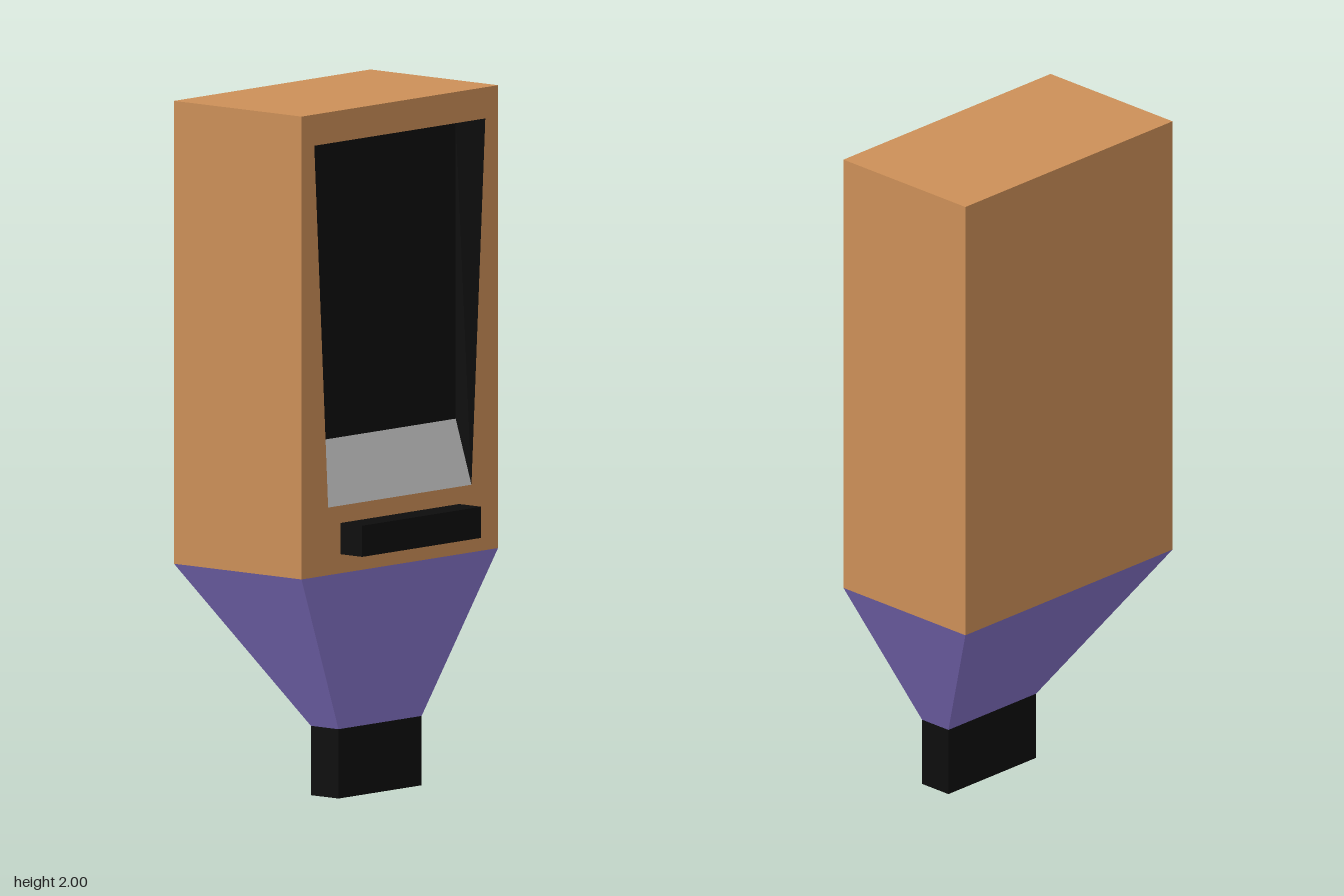
import * as THREE from 'three';

const paint = (color) => new THREE.MeshStandardMaterial({ color });
const orange = paint(0xcd9058);
const purple = paint(0x8573c8);
const black = paint(0x0d0d0d);
const grey = paint(0xcccccc);

// Flat-shaded mesh from quads whose corners run counter-clockwise seen from outside
function quadMesh(name, material, quads) {
  const points = quads.flatMap(([a, b, c, d]) => [a, b, c, a, c, d]);
  const geometry = new THREE.BufferGeometry();
  geometry.setAttribute('position', new THREE.Float32BufferAttribute(points.flat(), 3));
  geometry.computeVertexNormals();
  const mesh = new THREE.Mesh(geometry, material);
  mesh.name = name;
  return mesh;
}

// Horizontal rectangle, counter-clockwise from above; its first edge lies on the +x side
const ring = (y, x0, x1, z) => [[x1, y, z], [x1, y, -z], [x0, y, -z], [x0, y, z]];

// Quads joining two four-cornered rings
const bridge = (a, b) => a.map((p, i) => [p, a[(i + 1) % 4], b[(i + 1) % 4], b[i]]);

function box(name, material, x0, x1, y0, y1, z) {
  const mesh = new THREE.Mesh(new THREE.BoxGeometry(x1 - x0, y1 - y0, 2 * z), material);
  mesh.position.set((x0 + x1) / 2, (y0 + y1) / 2, 0);
  mesh.name = name;
  return mesh;
}

export function createModel() {
  const group = new THREE.Group();
  group.name = 'cabinet';

  // Cabinet shell, its +x side left for the framed face
  const low = ring(0.665, -0.285, 0.2, 0.425);
  const high = ring(2, -0.285, 0.2, 0.425);
  group.add(quadMesh('cabinetShell', orange, [...bridge(low, high).slice(1), high]));

  // Recess outlines: tapered opening and straight back panel, from bottom left
  const opening = [[0.2, 0.86, 0.31], [0.2, 0.86, -0.31], [0.2, 1.91, -0.37], [0.2, 1.91, 0.37]];
  const back = [[0.14, 1.045, 0.31], [0.14, 1.045, -0.31], [0.14, 1.91, -0.31], [0.14, 1.91, 0.31]];

  // Framed face around the opening
  const toShape = (p) => new THREE.Vector2(-p[2], p[1]);
  const face = new THREE.Shape([low[0], low[1], high[1], high[0]].map(toShape));
  face.holes.push(new THREE.Path([...opening, opening[0]].map(toShape)));
  const frame = new THREE.Mesh(new THREE.ShapeGeometry(face).rotateY(Math.PI / 2), orange);
  frame.position.x = 0.2;
  frame.name = 'faceFrame';
  group.add(frame);

  // Recess lining with a sloping panel at its foot
  const [slope, ...walls] = bridge(opening, back);
  group.add(quadMesh('recess', black, [...walls, back]));
  group.add(quadMesh('slopingPanel', grey, [slope]));

  // Ledge under the recess
  group.add(box('ledge', black, 0.2, 0.283, 0.72, 0.81, 0.257));

  // Tapered funnel and foot with a coloured underside
  group.add(quadMesh('funnel', purple, bridge(ring(0.2, 0.02, 0.125, 0.18), low)));
  const footFaces = [black, black, black, orange, black, black];
  group.add(box('foot', footFaces, 0.02, 0.125, 0, 0.2, 0.18));

  return group;
}
